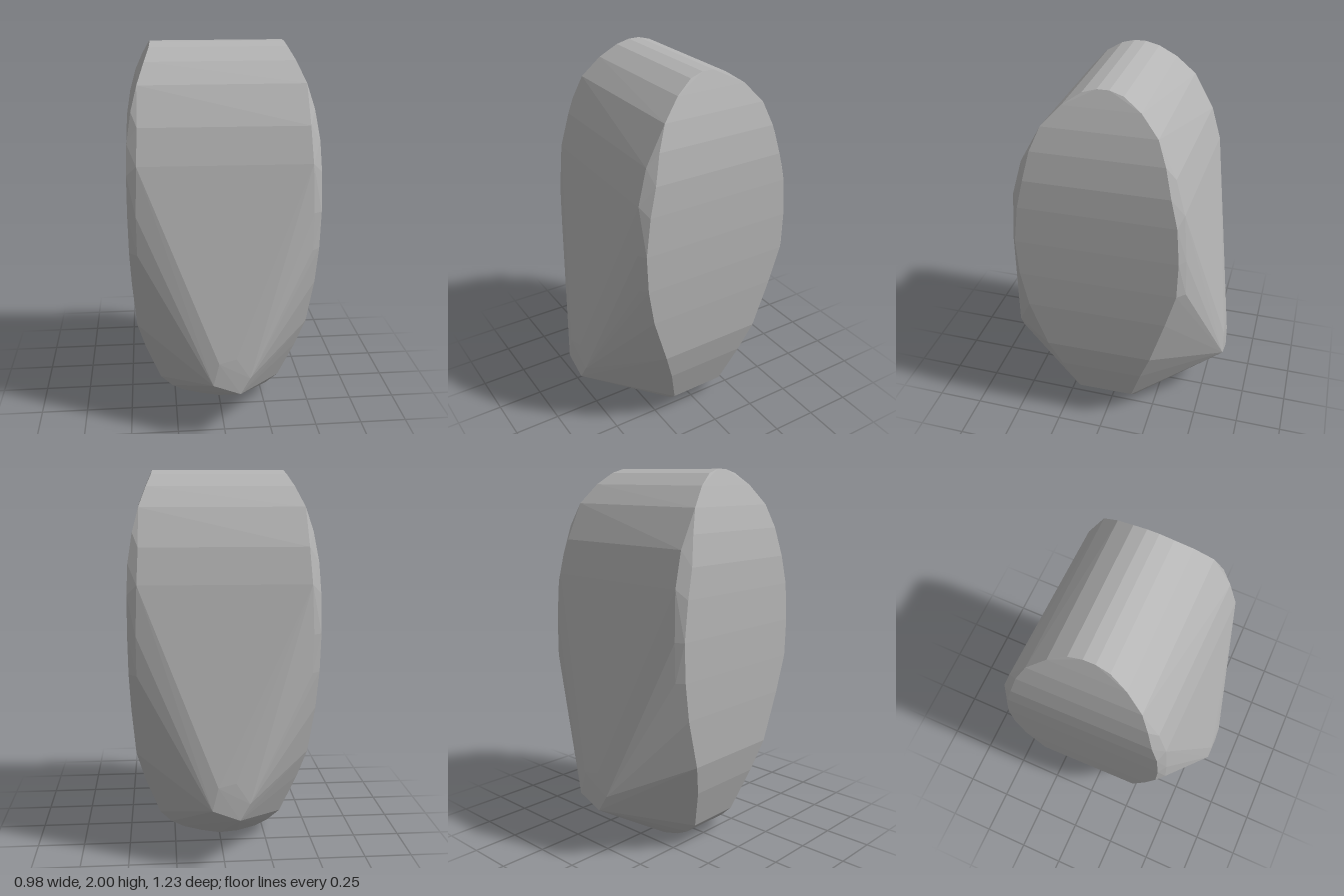
import * as THREE from 'three';
import { ConvexGeometry } from 'three/addons/geometries/ConvexGeometry.js';

// Outline of one bowed side face: height, x, front z, back z
const sideOutline = [
  [2.0, 0.35, 0.03, -0.03], [1.98, 0.357, 0.1, -0.1], [1.92, 0.385, 0.19, -0.19],
  [1.82, 0.425, 0.285, -0.28], [1.7, 0.458, 0.335, -0.325], [1.55, 0.483, 0.37, -0.36],
  [1.4, 0.49, 0.405, -0.395], [1.2, 0.492, 0.43, -0.41], [1.0, 0.49, 0.42, -0.405],
  [0.8, 0.482, 0.385, -0.35], [0.53, 0.463, 0.3, -0.27], [0.36, 0.42, 0.24, -0.21],
  [0.13, 0.34, 0.17, -0.14],
];

// Bevel between the side and the front and back: height, x, front z, back z
const bevel = [
  [1.63, 0.43, 0.39, -0.37], [1.45, 0.44, 0.44, -0.42],
  [1.2, 0.45, 0.455, -0.44], [1.0, 0.45, 0.45, -0.445],
];

// Rounded underside (x, y) and the blunt nose low on the front (x, y, z)
const underside = [[0.27, 0.07], [0.2, 0.035], [0.1, 0.008], [0, 0]];
const nose = [
  [-0.07, 0.34, 0.617], [0.07, 0.285, 0.617], [0.12, 0.37, 0.61],
  [0.05, 0.48, 0.605], [-0.04, 0.46, 0.612],
];

export function createModel() {
  const half = [];
  for (const [y, x, front, back] of [...sideOutline, ...bevel]) {
    for (const z of [front, back]) half.push([x - 0.006 + 0.015 * z, y, z]);
  }
  for (const [x, y] of underside) half.push([x, y, 0.16], [x, y, -0.14]);
  half.push(...nose);

  // The body repeats itself after half a turn about the upright axis
  const points = half.flatMap(([x, y, z]) => [
    new THREE.Vector3(x, y, z), new THREE.Vector3(-x, y, -z),
  ]);

  const stone = new THREE.MeshStandardMaterial({ color: 0xb4b4b4 });
  stone.name = 'stone grey';
  stone.flatShading = true;
  const body = new THREE.Mesh(new ConvexGeometry(points), stone);
  body.name = 'body';

  const group = new THREE.Group();
  group.name = 'facetedStone';
  group.add(body);
  return group;
}
